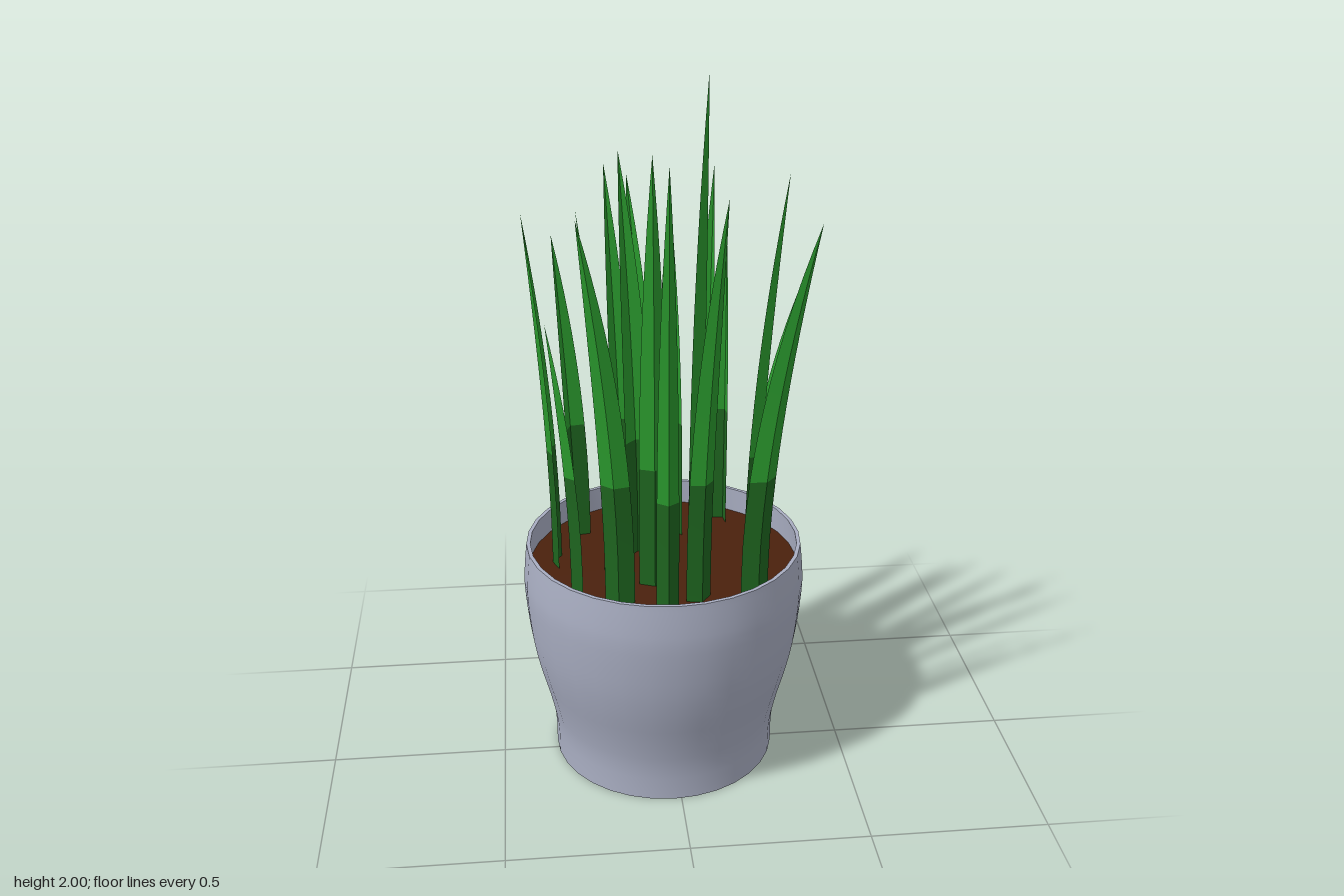
import * as THREE from 'three';
import { toCreasedNormals } from 'three/addons/utils/BufferGeometryUtils.js';

const potGrey = new THREE.MeshStandardMaterial({ color: 0xa9aec2 });
potGrey.name = 'potGrey';
const soilBrown = new THREE.MeshStandardMaterial({ color: 0x4a210d });
soilBrown.name = 'soilBrown';
const stemGreen = new THREE.MeshStandardMaterial({ color: 0x1e651f, side: THREE.DoubleSide });
stemGreen.name = 'stemGreen';
const leafGreen = new THREE.MeshStandardMaterial({ color: 0x2a992d, side: THREE.DoubleSide });
leafGreen.name = 'leafGreen';

const BASE_Y = 0.57, SPLIT_Y = 0.95, BEND_Y = 0.67;

// Each blade: two edges of its base (x, z, x, z), then its tip (x, z, height)
const BLADES = [
  [-0.09, -0.34, -0.01, -0.32, -0.09, -0.38, 1.64],
  [0.15, -0.30, 0.19, -0.26, 0.19, -0.33, 1.49],
  [-0.22, -0.23, -0.28, -0.18, -0.31, -0.22, 1.52],
  [-0.08, -0.25, -0.15, -0.22, -0.16, -0.28, 1.70],
  [-0.02, -0.23, 0.05, -0.19, 0.02, -0.27, 1.62],
  [0.24, -0.17, 0.25, -0.11, 0.41, -0.14, 1.48],
  [-0.04, -0.10, -0.12, -0.07, -0.13, -0.13, 1.77],
  [0.07, -0.12, 0.12, -0.08, 0.13, -0.16, 1.72],
  [-0.31, -0.10, -0.32, -0.02, -0.39, -0.05, 1.63],
  [-0.17, -0.04, -0.17, 0.04, -0.25, 0.01, 1.65],
  [0.09, -0.02, 0.04, 0.06, 0.09, 0.03, 2.0],
  [-0.10, 0.09, -0.02, 0.08, -0.06, 0.11, 1.81],
  [0.24, -0.01, 0.20, 0.05, 0.30, 0.04, 1.74],
  [-0.28, 0.08, -0.26, 0.15, -0.34, 0.11, 1.38],
  [-0.20, 0.17, -0.12, 0.19, -0.26, 0.256, 1.69],
  [0.02, 0.20, 0.09, 0.17, 0.11, 0.28, 1.74],
  [0.17, 0.20, 0.25, 0.165, 0.35, 0.235, 1.66],
  [-0.07, 0.29, -0.01, 0.29, -0.05, 0.435, 1.86],
];

// Points across a folded blade at height y: edge, fold, edge
function section([x1, z1, x2, z2, tx, tz, ty], y) {
  const cx = (x1 + x2) / 2, cz = (z1 + z2) / 2;
  const hx = (x2 - x1) / 2, hz = (z2 - z1) / 2;
  const t = Math.min(1, Math.max(0, (y - BEND_Y) / (ty - BEND_Y)));
  const bend = t ** 1.8, width = 1 - t ** 2.5;
  const px = cx + (tx - cx) * bend, pz = cz + (tz - cz) * bend;
  // The fold points the way the blade leans
  const len = Math.hypot(hx, hz);
  const side = Math.sign((tx - cx) * -hz + (tz - cz) * hx) || 1;
  const depth = 0.022 * width * side / len;
  return [
    [px - hx * width, y, pz - hz * width],
    [px - hz * depth, y, pz + hx * depth],
    [px + hx * width, y, pz + hz * width],
  ];
}

// Folded strip between two heights; each half has its own vertices to keep the fold sharp
function bladeStrip(blade, y0, y1, steps) {
  const positions = [], index = [];
  for (let half = 0; half < 2; half++) {
    const start = half * (steps + 1) * 2;
    for (let i = 0; i <= steps; i++) {
      const s = section(blade, y0 + (y1 - y0) * i / steps);
      positions.push(...s[half], ...s[half + 1]);
      if (i < steps) {
        const a = start + i * 2;
        index.push(a, a + 1, a + 2, a + 1, a + 3, a + 2);
      }
    }
  }
  const geometry = new THREE.BufferGeometry();
  geometry.setAttribute('position', new THREE.Float32BufferAttribute(positions, 3));
  geometry.setIndex(index);
  geometry.computeVertexNormals();
  return geometry;
}

export function createModel() {
  const model = new THREE.Group();
  model.name = 'pottedGrass';
  const add = (name, geometry, material, parent = model) => {
    const mesh = new THREE.Mesh(geometry, material);
    mesh.name = name;
    parent.add(mesh);
    return mesh;
  };

  // Pot with a narrow foot, bulging body and thin rim
  const outer = new THREE.SplineCurve([
    [0.322, 0], [0.324, 0.1], [0.343, 0.2], [0.369, 0.3], [0.388, 0.4],
    [0.4, 0.53], [0.398, 0.6], [0.391, 0.67],
  ].map(([r, y]) => new THREE.Vector2(r, y))).getPoints(20);
  const profile = [
    new THREE.Vector2(0, 0), ...outer,
    new THREE.Vector2(0.38, 0.67), new THREE.Vector2(0.386, 0.56),
  ];
  const pot = add('pot', toCreasedNormals(new THREE.LatheGeometry(profile, 32), 0.6), potGrey);
  pot.position.set(-0.02, 0, -0.04);

  // Soil surface
  const soil = add('soil', new THREE.CircleGeometry(0.386, 32).rotateX(-Math.PI / 2), soilBrown);
  soil.position.set(-0.02, 0.595, -0.04);

  // Grass blades: dark straight stem, lighter curved leaf
  BLADES.forEach((blade, i) => {
    const group = new THREE.Group();
    group.name = `grassBlade${i + 1}`;
    add('bladeStem', bladeStrip(blade, BASE_Y, SPLIT_Y, 4), stemGreen, group);
    add('bladeLeaf', bladeStrip(blade, SPLIT_Y, blade[6], 10), leafGreen, group);
    model.add(group);
  });

  return model;
}
